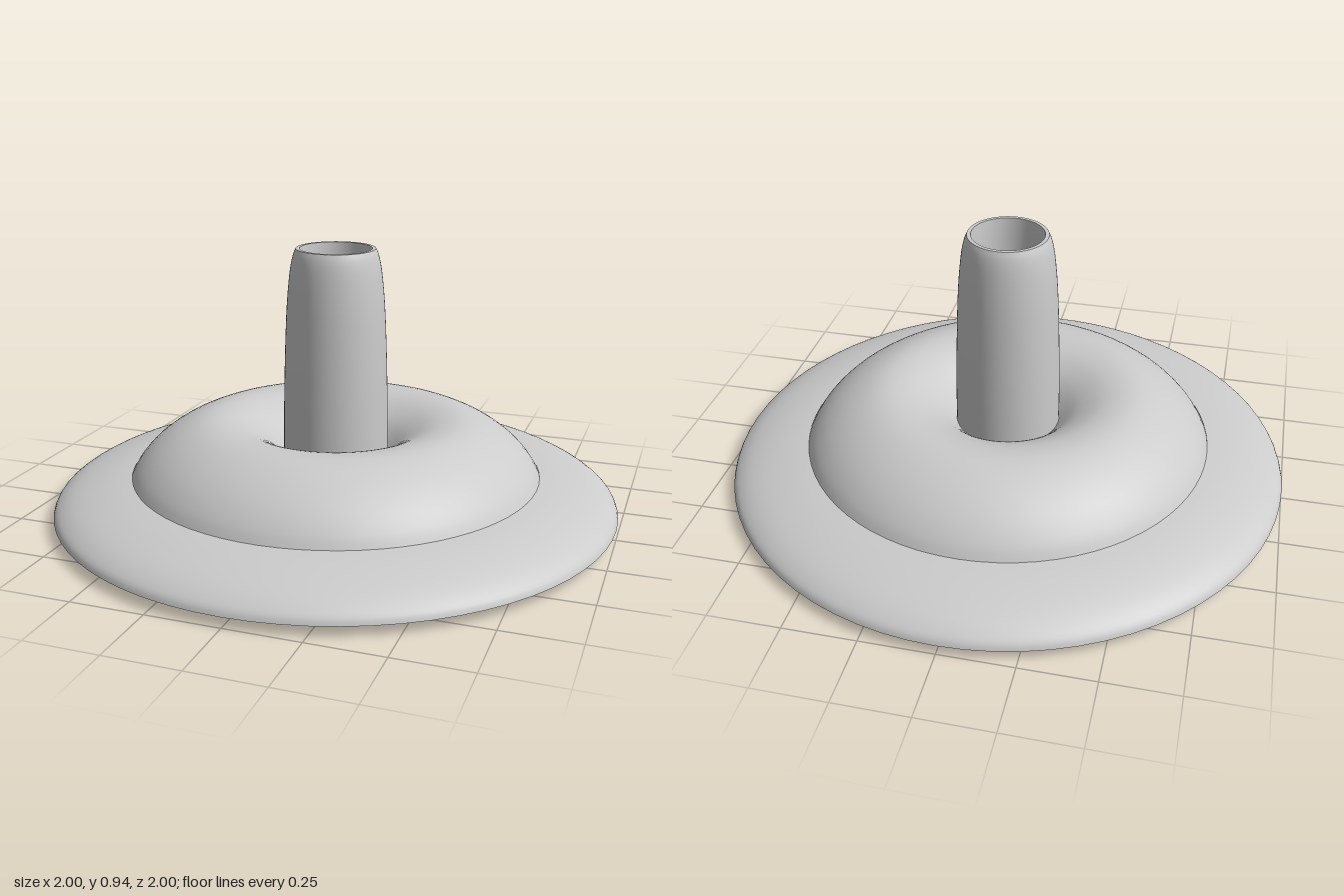
import * as THREE from 'three';

const material = new THREE.MeshStandardMaterial({ color: 0xcccccc, side: THREE.DoubleSide });

// Turned surface from [radius, height] pairs, smoothed along a spline if asked
function turned(name, pairs, smoothSteps = 0) {
  let points = pairs.map(([r, y]) => new THREE.Vector2(r, y));
  if (smoothSteps) points = new THREE.SplineCurve(points).getPoints(smoothSteps);
  const mesh = new THREE.Mesh(new THREE.LatheGeometry(points, 72), material);
  mesh.name = name;
  return mesh;
}

export function createModel() {
  const model = new THREE.Group();
  model.name = 'flangedSpindle';

  // Thin outer brim, curved down at the edge
  model.add(turned('brim', [
    [1, 0.035], [0.988, 0.058], [0.95, 0.085], [0.9, 0.106], [0.84, 0.123], [0.78, 0.135], [0.725, 0.142],
  ], 20));

  // Raised dome with a dip around the spindle
  model.add(turned('dome', [
    [0.725, 0.14], [0.7, 0.182], [0.65, 0.236], [0.58, 0.286], [0.5, 0.322], [0.43, 0.334],
    [0.36, 0.325], [0.3, 0.301], [0.24, 0.262], [0.183, 0.205],
  ], 28));

  // Underside of the dome and the skirt that hangs from its edge
  model.add(turned('domeUnderside', [[0.186, 0.125], [0.725, 0.14]]));
  model.add(turned('skirt', [[0.73, 0.035], [0.73, 0.14]]));

  // Hollow spindle, tapering to a rounded lip
  model.add(turned('spindle', [
    [0.187, 0.04], [0.186, 0.2], [0.184, 0.36], [0.179, 0.55], [0.171, 0.73], [0.16, 0.85], [0.149, 0.91], [0.138, 0.938],
  ], 24));
  model.add(turned('spindleLip', [[0.138, 0.938], [0.125, 0.938]]));

  // Inner sleeve, stepped in at the foot
  model.add(turned('sleeve', [[0.125, 0.938], [0.12, 0.85], [0.11, 0.03]]));
  model.add(turned('sleeveFlange', [[0.11, 0.03], [0.11, 0.025], [0.085, 0.025]]));
  model.add(turned('sleeveFloor', [[0.11, 0.03], [0.08, 0.03]]));

  // Short nozzle below the sleeve
  model.add(turned('nozzle', [[0.085, 0.025], [0.085, 0.006], [0.081, 0]]));
  model.add(turned('nozzleBore', [[0.081, 0], [0.08, 0.03]]));

  return model;
}
